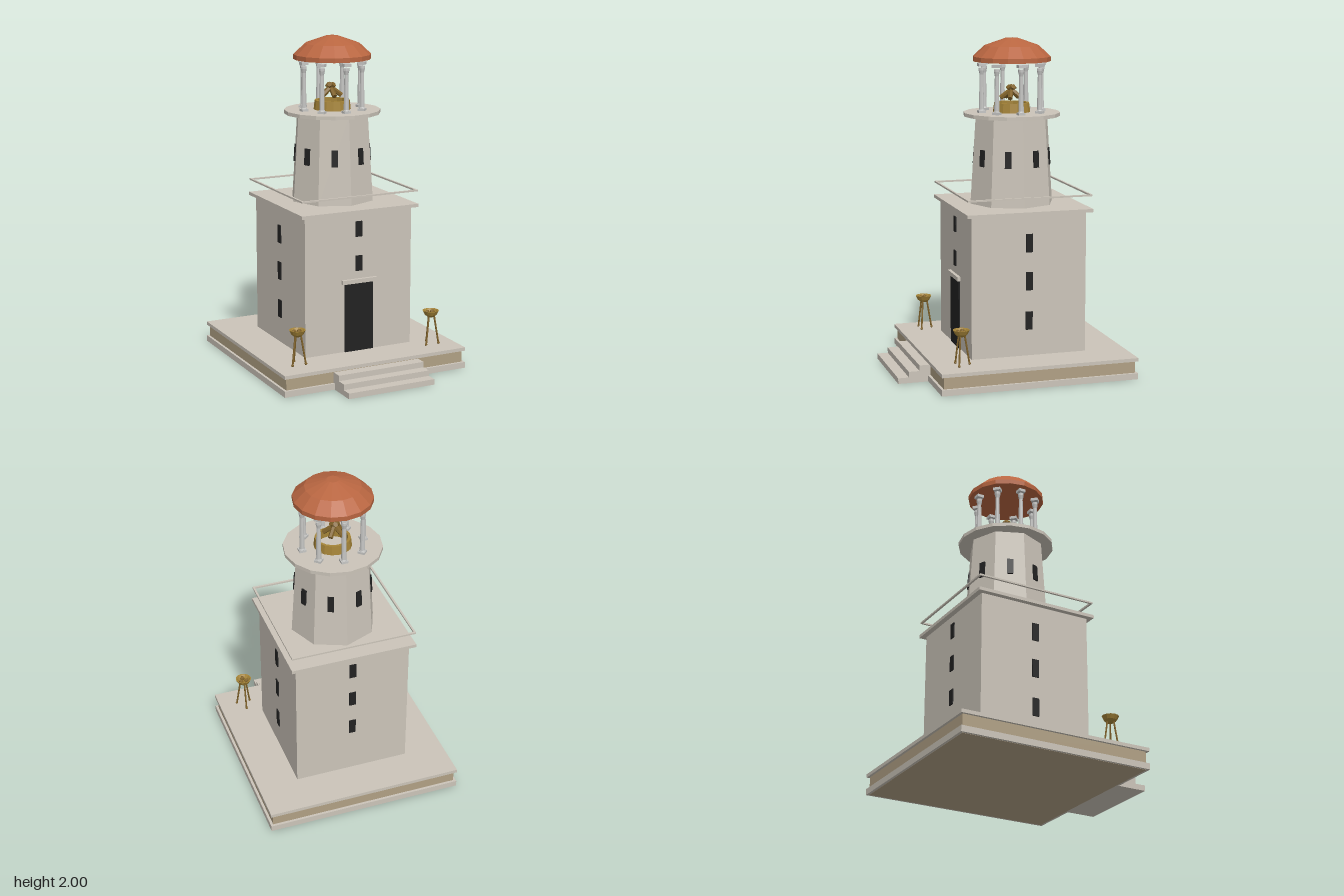
import * as THREE from 'three';

const CZ = -0.09; // tower axis

function material(name, color) {
  const m = new THREE.MeshStandardMaterial({ color, flatShading: true });
  m.name = name;
  return m;
}

export function createModel() {
  const stone = material('pale stone', 0xcbc4b9);
  const tan = material('tan stone', 0xb0a084);
  const marble = material('grey marble', 0xc6c6c4);
  const dark = material('dark opening', 0x222222);
  const roof = material('terracotta', 0xb96641);
  const gold = material('gold', 0xa58438);
  const bronze = material('bronze', 0x80622a);
  roof.side = gold.side = THREE.DoubleSide;

  const model = new THREE.Group();
  model.name = 'lighthouse';

  function add(name, geo, mat, x, y, z, parent = model) {
    const mesh = new THREE.Mesh(geo, mat);
    mesh.name = name;
    mesh.position.set(x, y, z);
    parent.add(mesh);
    return mesh;
  }
  // box between two heights
  function block(name, w, d, y0, y1, mat, x = 0, z = CZ, parent = model) {
    return add(name, new THREE.BoxGeometry(w, y1 - y0, d), mat, x, (y0 + y1) / 2, z, parent);
  }
  // round bar between two points
  function bar(name, a, b, r, mat, parent, sides = 6) {
    const dir = b.clone().sub(a);
    const mid = a.clone().add(b).multiplyScalar(0.5);
    const mesh = add(name, new THREE.CylinderGeometry(r, r, dir.length(), sides), mat, mid.x, mid.y, mid.z, parent);
    mesh.quaternion.setFromUnitVectors(new THREE.Vector3(0, 1, 0), dir.normalize());
    return mesh;
  }
  function lathe(points, sides) {
    return new THREE.LatheGeometry(points.map(p => new THREE.Vector2(p[0], p[1])), sides);
  }

  // platform and steps
  block('platformCore', 1.175, 1.175, 0, 0.12, tan);
  block('platformBase', 1.206, 1.206, 0.001, 0.038, stone);
  block('platformTop', 1.206, 1.206, 0.11, 0.131, stone);
  for (let i = 0; i < 3; i++) {
    const front = 0.695 - i * 0.065;
    block('step', 0.565, front - 0.48, i ? i * 0.034 : 0, (i + 1) * 0.034, stone, 0, (front + 0.48) / 2);
  }

  // square lower storey
  block('lowerTower', 0.71, 0.71, 0.131, 0.985, stone);
  block('cornice', 0.775, 0.775, 0.985, 1.005, stone);
  block('door', 0.19, 0.008, 0.131, 0.555, dark, 0, 0.268);
  block('lintel', 0.23, 0.03, 0.555, 0.58, stone, 0, 0.27);

  // windows of the lower storey, one column on each wall
  const walls = [[0.675, 0.885], [0.345, 0.585, 0.815], [0.46, 0.675, 0.885], [0.345, 0.585, 0.815]];
  walls.forEach((heights, i) => {
    const wall = new THREE.Group();
    wall.name = 'wallWindows';
    wall.position.z = CZ;
    wall.rotation.y = i * Math.PI / 2;
    model.add(wall);
    const h = i % 2 ? 0.055 : 0.047;
    for (const y of heights) block('window', 0.042, 0.009, y - h, y + h, dark, 0, 0.357, wall);
  });

  // square railing around the roof terrace
  for (const s of [-1, 1]) {
    block('railing', 0.768, 0.012, 1.081, 1.091, stone, 0, CZ + s * 0.378);
    block('railing', 0.012, 0.744, 1.081, 1.091, stone, s * 0.378, CZ);
  }

  // octagonal upper storey with a window on each face
  add('upperTower', new THREE.CylinderGeometry(0.226, 0.26, 0.53, 8), stone, 0, 1.27, CZ);
  for (let i = 0; i < 8; i++) {
    const face = new THREE.Group();
    face.name = 'upperWindow';
    face.position.z = CZ;
    face.rotation.y = (i + 0.5) * Math.PI / 4;
    model.add(face);
    const plate = block('window', 0.038, 0.009, 1.24, 1.34, dark, 0, 0.228, face);
    plate.rotation.x = -0.06;
  }
  add('gallery', new THREE.CylinderGeometry(0.293, 0.293, 0.022, 16), stone, 0, 1.544, CZ);

  // ring of columns
  const shaft = lathe([[0, 0], [0.019, 0], [0.019, 0.015], [0.016, 0.022], [0.012, 0.23],
    [0.018, 0.255], [0.018, 0.27], [0, 0.27]], 10);
  for (let i = 0; i < 8; i++) {
    const column = new THREE.Group();
    column.name = 'column';
    const a = i * Math.PI / 4;
    column.position.set(0.189 * Math.sin(a), 1.555, CZ + 0.189 * Math.cos(a));
    column.rotation.y = a;
    model.add(column);
    add('shaft', shaft, marble, 0, 0, 0, column);
    block('plinth', 0.042, 0.042, 0, 0.014, marble, 0, 0, column);
    block('abacus', 0.044, 0.044, 0.279, 0.297, marble, 0, 0, column);
  }

  // faceted dome
  add('dome', lathe([[0, 1.862], [0.235, 1.862], [0.235, 1.89], [0.165, 1.955], [0.037, 2], [0, 2]], 16),
    roof, 0, 0, CZ);

  // beacon: hollow fire ring with a pile of logs
  add('fireRing', lathe([[0.09, 1.556], [0.113, 1.556], [0.106, 1.612], [0.09, 1.612], [0.09, 1.556]], 16),
    gold, 0, 0, CZ);
  const logs = new THREE.Group();
  logs.name = 'firewood';
  logs.position.set(-0.01, 1.67, CZ);
  model.add(logs);
  for (let i = 0; i < 5; i++) {
    const a = i * Math.PI * 0.4 + 0.4;
    bar('log', new THREE.Vector3(0.065 * Math.cos(a), -0.03, 0.065 * Math.sin(a)),
      new THREE.Vector3(-0.025 * Math.cos(a), 0.038, -0.025 * Math.sin(a)), 0.015, bronze, logs);
  }

  // tripod fire bowls at the front corners
  const bowl = lathe([[0, 0.3], [0.02, 0.305], [0.038, 0.32], [0.05, 0.345], [0.043, 0.345], [0.03, 0.327], [0, 0.32]], 12);
  for (const s of [-1, 1]) {
    const brazier = new THREE.Group();
    brazier.name = s > 0 ? 'leftBrazier' : 'rightBrazier';
    brazier.position.set(s * 0.449, 0, 0.355);
    model.add(brazier);
    add('bowl', bowl, gold, 0, 0, 0, brazier);
    for (let i = 0; i < 3; i++) {
      const a = Math.PI + i * Math.PI * 2 / 3;
      const x = Math.sin(a), z = Math.cos(a);
      bar('leg', new THREE.Vector3(x * 0.05, 0.135, z * 0.05), new THREE.Vector3(x * 0.02, 0.318, z * 0.02), 0.0055, bronze, brazier);
      add('foot', new THREE.IcosahedronGeometry(0.009, 0), bronze, x * 0.05, 0.139, z * 0.05, brazier);
      add('coal', new THREE.IcosahedronGeometry(0.016, 0), bronze, -x * 0.02, 0.332, -z * 0.02, brazier);
    }
  }
  return model;
}
